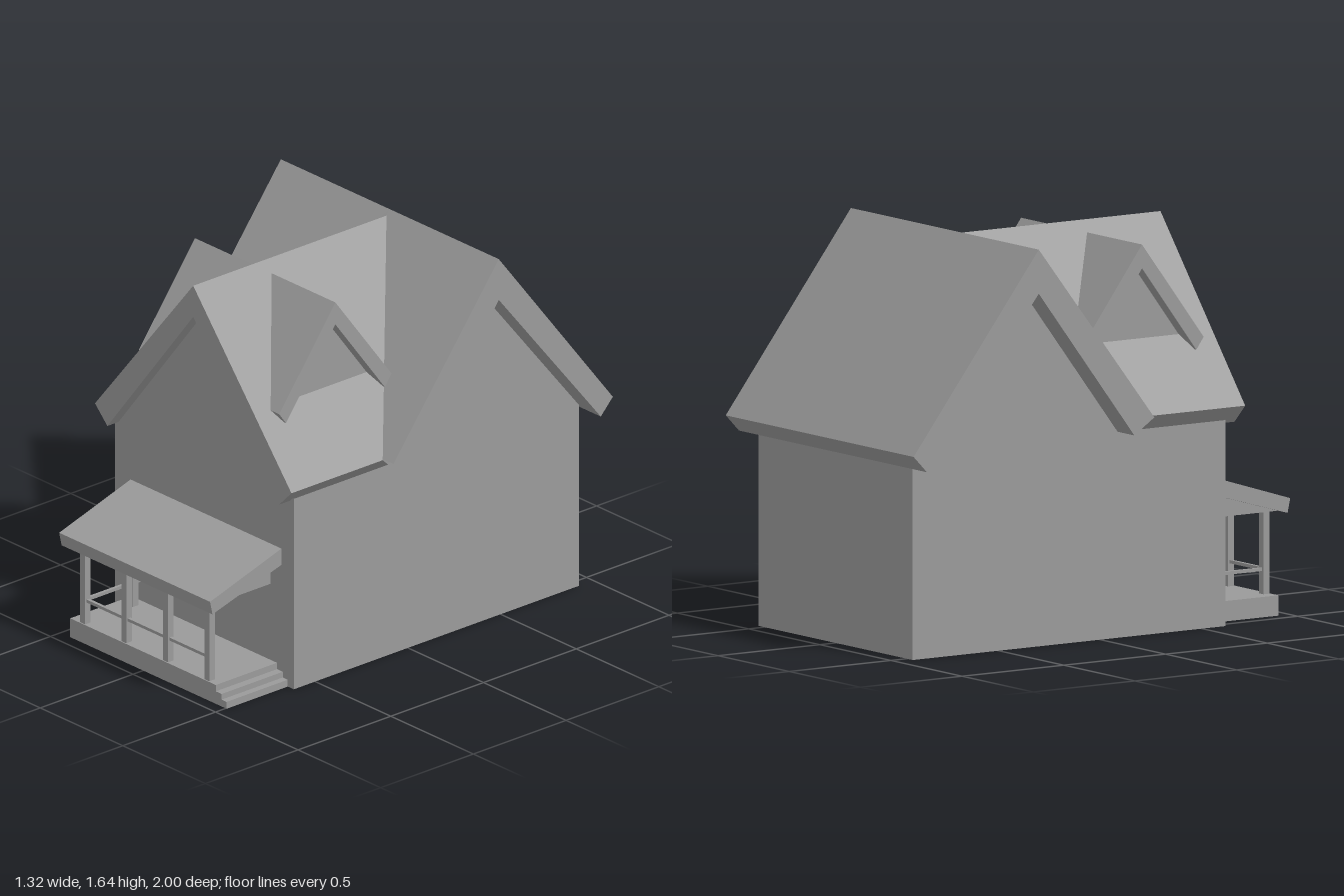
import * as THREE from 'three';

const solidMat = new THREE.MeshStandardMaterial({ color: 0x9a9a9a, flatShading: true });
const thinMat = new THREE.MeshStandardMaterial({ color: 0x9a9a9a, flatShading: true, side: THREE.DoubleSide });

function fromTriangles(points, material, name) {
  const g = new THREE.BufferGeometry().setFromPoints(points);
  g.computeVertexNormals();
  const m = new THREE.Mesh(g, material);
  m.name = name;
  return m;
}

// Thin flat panel, fanned from its first corner
function panel(name, corners) {
  const v = corners.map(c => new THREE.Vector3(...c)), tris = [];
  for (let i = 1; i < v.length - 1; i++) tris.push(v[0], v[i], v[i + 1]);
  return fromTriangles(tris, thinMat, name);
}

// Convex solid between two matching outlines; every face is turned outward
function slab(name, top, bottom) {
  const a = top.map(c => new THREE.Vector3(...c)), b = bottom.map(c => new THREE.Vector3(...c));
  const centre = new THREE.Vector3();
  [...a, ...b].forEach(p => centre.addScaledVector(p, 1 / (2 * a.length)));
  const tris = [], n = new THREE.Vector3(), e = new THREE.Vector3();
  const add = (p, q, r) => {
    n.subVectors(q, p).cross(e.subVectors(r, p));
    if (n.length() < 1e-7) return;
    if (n.dot(e.subVectors(p, centre)) < 0) tris.push(p, r, q);
    else tris.push(p, q, r);
  };
  const count = a.length;
  for (let i = 0; i < count; i++) {
    const j = (i + 1) % count;
    if (i > 0 && i < count - 1) {
      add(a[0], a[i], a[j]);
      add(b[0], b[i], b[j]);
    }
    add(a[i], a[j], b[j]);
    add(a[i], b[j], b[i]);
  }
  return fromTriangles(tris, solidMat, name);
}

// Box given by its limits
function box(name, x0, x1, y0, y1, z0, z1) {
  const m = new THREE.Mesh(new THREE.BoxGeometry(x1 - x0, y1 - y0, z1 - z0), solidMat);
  m.position.set((x0 + x1) / 2, (y0 + y1) / 2, (z0 + z1) / 2);
  m.name = name;
  return m;
}

function group(name, ...parts) {
  const g = new THREE.Group();
  g.name = name;
  if (parts.length) g.add(...parts);
  return g;
}

function createWalls() {
  const W = 0.542, F = 0.615, B = -0.922;
  const walls = group('walls',
    panel('frontWall', [[0, 1.48, F], [-W, 0.84, F], [-W, 0, F], [W, 0, F], [W, 0.84, F]]),
    panel('backWall', [[-W, 0, B], [-W, 0.81, B], [W, 0.81, B], [W, 0, B]]));
  for (const s of [-1, 1]) {
    const outline = [[0.085, 0.84], [-0.385, 1.46], [B, 0.81], [B, 0], [F, 0], [F, 0.84]];
    walls.add(panel(s > 0 ? 'leftWall' : 'rightWall', outline.map(([z, y]) => [s * W, y, z])));
  }
  return walls;
}

function createRoof() {
  const R = 0.66, Z = -0.385;
  const roof = group('roof', slab('mainRoofBack',
    [[-R, 1.64, Z], [R, 1.64, Z], [R, 0.85, -1], [-R, 0.85, -1]],
    [[-R, 1.46, Z], [R, 1.46, Z], [R, 0.782, -0.935], [-R, 0.782, -0.935]]));
  for (const s of [-1, 1]) {
    const flip = pts => pts.map(([x, y, z]) => [s * x, y, z]);
    // Front slope of the main roof, cut along the valley
    roof.add(slab('mainRoofFront',
      flip([[0, 1.64, Z], [R, 1.64, Z], [R, 0.905, 0.183], [0.595, 0.905, 0.183], [0, 1.617, -0.367]]),
      flip([[0, 1.46, Z], [R, 1.46, Z], [R, 0.84, 0.085], [0.52, 0.84, 0.085], [0, 1.46, Z]])));
    // Front gable roof
    roof.add(slab('frontGableRoof',
      flip([[0, 1.617, 0.675], [0.595, 0.9, 0.675], [0.595, 0.9, 0.183], [0, 1.617, -0.367]]),
      flip([[0, 1.48, 0.675], [0.52, 0.825, 0.675], [0.52, 0.825, 0.085], [0, 1.48, Z]])));
  }
  return roof;
}

// Dormer on one side of the front gable roof
function createDormer(s) {
  const zc = 0.287, end = 0.425;
  const onRoof = y => (1.617 - y) / 1.205 - 0.01;
  const dormer = group(s > 0 ? 'leftDormer' : 'rightDormer');
  for (const t of [-1, 1]) {
    const strip = (y0, y1, w) => [
      [s * end, y0, zc], [s * end, y1, zc + t * w],
      [s * onRoof(y1), y1, zc + t * w], [s * onRoof(y0), y0, zc]];
    dormer.add(slab('dormerRoof', strip(1.57, 1.167, 0.303), strip(1.473, 1.117, 0.267)));
  }
  const x = s * 0.365;
  dormer.add(panel('dormerGable', [[x, 1.48, zc], [x, 1.15, zc + 0.25], [x, 1.15, zc - 0.25]]));
  return dormer;
}

function createPorch() {
  // The porch is let slightly into the front wall
  const F = 0.595, porch = group('porch');
  porch.add(box('porchFloor', -0.442, 0.44, 0, 0.083, F, 0.945));
  // Side steps
  porch.add(box('upperStep', 0.44, 0.475, 0, 0.055, F, 0.945));
  porch.add(box('lowerStep', 0.475, 0.505, 0, 0.03, F, 0.945));
  // Posts
  for (const x of [-0.372, -0.123, 0.13, 0.38])
    porch.add(box('frontPost', x - 0.015, x + 0.015, 0.08, 0.44, 0.91, 0.94));
  porch.add(box('backPost', -0.387, -0.357, 0.08, 0.47, 0.652, 0.684));
  // Railings along the front and the closed end
  porch.add(box('frontRail', -0.372, 0.38, 0.177, 0.19, 0.918, 0.932));
  porch.add(box('sideRail', -0.379, -0.365, 0.177, 0.19, F, 0.925));
  // Lean-to roof with closed ends beneath
  const section = (x, pts) => pts.map(([z, y]) => [x, y, z]);
  const lean = [[F, 0.602], [1, 0.475], [0.987, 0.416], [F, 0.53]];
  const fill = [[F, 0.54], [0.982, 0.426], [0.975, 0.418], [F, 0.418]];
  porch.add(slab('porchRoof', section(-0.447, lean), section(0.467, lean)));
  porch.add(slab('porchCeiling', section(-0.39, fill), section(0.4, fill)));
  return porch;
}

export function createModel() {
  return group('house', createWalls(), createRoof(), createDormer(1), createDormer(-1), createPorch());
}
